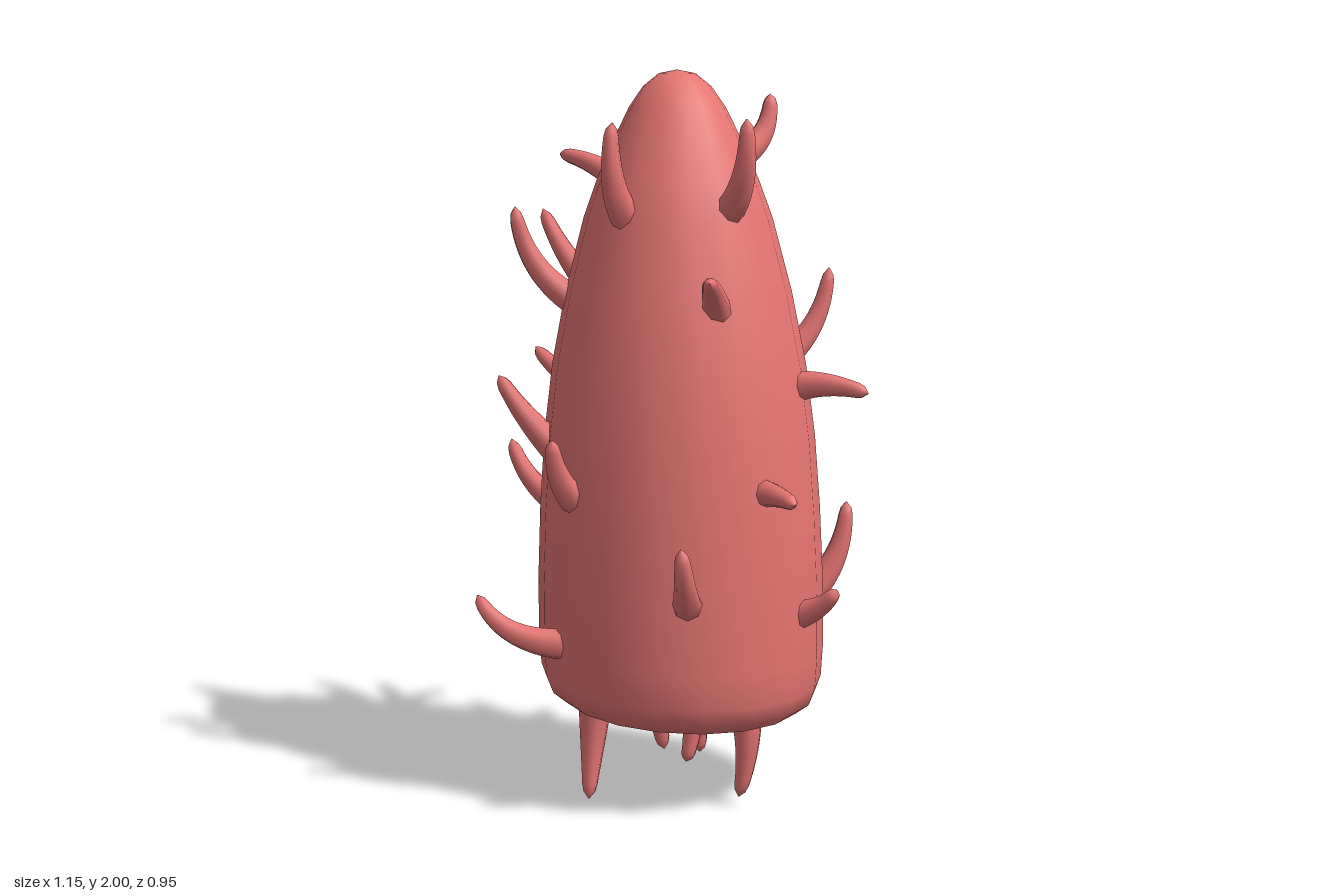
import * as THREE from 'three';

const material = new THREE.MeshStandardMaterial({ color: 0xe67572 });

// Bullet-shaped trunk, slightly oval, with a rounded and tilted underside
function createBody() {
  const profile = [
    [0, 0.265], [0.15, 0.262], [0.28, 0.252], [0.335, 0.258], [0.373, 0.288], [0.391, 0.335], [0.397, 0.42],
    [0.396, 0.6], [0.388, 0.8], [0.374, 1.0], [0.349, 1.2], [0.31, 1.4], [0.258, 1.6],
    [0.222, 1.7], [0.18, 1.8], [0.131, 1.9], [0.093, 1.955], [0.05, 1.99], [0, 2.0],
  ].map(([r, y]) => new THREE.Vector2(r, y));
  const geometry = new THREE.LatheGeometry(profile, 18);
  const p = geometry.attributes.position;
  for (let i = 0; i < p.count; i++) {
    const x = p.getX(i), y = p.getY(i), z = p.getZ(i);
    const low = THREE.MathUtils.clamp((0.6 - y) / 0.3, 0, 1);
    const oval = 0.025 * (x + z);
    p.setXYZ(i, x + oval + 0.041 - 0.008 * y, y - low * (0.06 * x + 0.02 * z), z + oval + 0.016);
  }
  const mesh = new THREE.Mesh(geometry, material);
  mesh.name = 'body';
  return mesh;
}

// Tapered, curved spike with a rounded tip, swept along a three-point curve
function createSpike(base, control, tip, radius, name) {
  const rings = 16, sides = 8, tipRadius = 0.017;
  const curve = new THREE.QuadraticBezierCurve3(base, control, tip);
  const geometry = new THREE.TubeGeometry(curve, rings, 1, sides);
  const p = geometry.attributes.position;
  const v = new THREE.Vector3();
  for (let i = 0; i <= rings; i++) {
    const t = i / rings;
    const centre = curve.getPointAt(t);
    let r = THREE.MathUtils.lerp(radius, tipRadius, t);
    if (i === rings) r = 0.001;
    else if (i === rings - 1) r *= 0.85;
    for (let j = 0; j <= sides; j++) {
      const k = i * (sides + 1) + j;
      v.fromBufferAttribute(p, k).sub(centre).multiplyScalar(r).add(centre);
      p.setXYZ(k, v.x, v.y, v.z);
    }
  }
  geometry.computeVertexNormals();
  // weld the normals along the tube seam
  const n = geometry.attributes.normal;
  for (let i = 0; i <= rings; i++) {
    const a = i * (sides + 1), b = a + sides;
    v.set(n.getX(a) + n.getX(b), n.getY(a) + n.getY(b), n.getZ(a) + n.getZ(b)).normalize();
    n.setXYZ(a, v.x, v.y, v.z);
    n.setXYZ(b, v.x, v.y, v.z);
  }
  const mesh = new THREE.Mesh(geometry, material);
  mesh.name = name;
  return mesh;
}

// Side spikes: base, tip, sag (positive curls the tip up, negative lets it droop)
const upperSpikes = [
  [[0.01, 1.6, 0.25], [0, 1.86, 0.305], 0.06],
  [[0.24, 1.62, 0.11], [0.335, 1.87, 0.18], 0.06],
  [[0.13, 1.77, -0.16], [0.173, 1.935, -0.24], 0.05],
  [[-0.19, 1.66, -0.09], [-0.43, 1.765, -0.09], -0.035],
  [[-0.25, 1.37, -0.01], [-0.45, 1.61, -0.03], 0.025],
  [[-0.24, 1.38, 0.16], [-0.345, 1.63, 0.26], 0.05],
  [[0.27, 1.35, 0.19], [0.345, 1.455, 0.385], -0.03],
  [[0.065, 1.47, -0.25], [0.065, 1.47, -0.475], -0.05],
  [[-0.17, 1.39, -0.25], [-0.228, 1.635, -0.35], 0.03],
  [[0.2, 1.19, -0.26], [0.3, 1.45, -0.36], 0.06],
];
const lowerSpikes = [
  [[0.36, 1.15, -0.045], [0.575, 1.14, -0.065], -0.03],
  [[-0.25, 1.08, -0.25], [-0.41, 1.195, -0.45], 0.015],
  [[-0.32, 1.08, -0.12], [-0.575, 1.195, -0.17], 0.03],
  [[-0.23, 0.98, 0.27], [-0.365, 1.17, 0.315], 0.01],
  [[-0.09, 0.845, 0.35], [-0.09, 1.03, 0.465], 0.035],
  [[-0.33, 0.765, 0.03], [-0.535, 0.945, 0.015], 0.05],
  [[0.36, 0.89, 0.15], [0.515, 0.875, 0.235], -0.015],
  [[-0.08, 0.75, -0.35], [-0.08, 0.79, -0.445], 0.01],
  [[-0.24, 0.65, -0.28], [-0.3, 0.86, -0.405], 0.05],
  [[0.25, 0.6, 0.33], [0.305, 0.775, 0.46], 0.06],
  [[0.335, 0.555, -0.235], [0.4, 0.8, -0.285], 0.04],
  [[0.4, 0.535, 0.03], [0.54, 0.62, 0.04], 0.025],
  [[-0.14, 0.46, 0.36], [-0.37, 0.575, 0.42], 0.06],
];
// Underside spikes: x and z of the tip, height of the tip, base radius
const footSpikes = [
  [-0.1, 0.28, 0.005, 0.053], [0.285, 0.12, 0.03, 0.05], [-0.13, -0.17, 0.035, 0.053],
  [0.055, -0.06, 0.08, 0.04], [-0.19, 0.09, 0.13, 0.037], [0.147, 0.17, 0.12, 0.038],
  [0.155, -0.24, 0.125, 0.038],
];

export function createModel() {
  const group = new THREE.Group();
  group.name = 'spikyTrunk';
  group.add(createBody());

  const sideGroup = new THREE.Group();
  sideGroup.name = 'sideSpikes';
  for (const [b, t, sag] of [...upperSpikes, ...lowerSpikes]) {
    const base = new THREE.Vector3(...b), tip = new THREE.Vector3(...t);
    const out = new THREE.Vector3(base.x - 0.03, 0, base.z - 0.015).normalize();
    const control = base.clone().lerp(tip, 0.5).addScaledVector(out, sag);
    control.y -= sag;
    // sink the root into the trunk
    base.addScaledVector(out, -0.02);
    base.y -= 0.01;
    sideGroup.add(createSpike(base, control, tip, 0.045, 'sideSpike'));
  }
  group.add(sideGroup);

  const footGroup = new THREE.Group();
  footGroup.name = 'footSpikes';
  for (const [x, z, y, r] of footSpikes) {
    const tip = new THREE.Vector3(x, y, z);
    const base = new THREE.Vector3(x * 1.02, 0.31, z * 0.84);
    const control = new THREE.Vector3(x * 1.12, (y + 0.3) / 2, z * 0.86);
    footGroup.add(createSpike(base, control, tip, r, 'footSpike'));
  }
  group.add(footGroup);
  return group;
}
